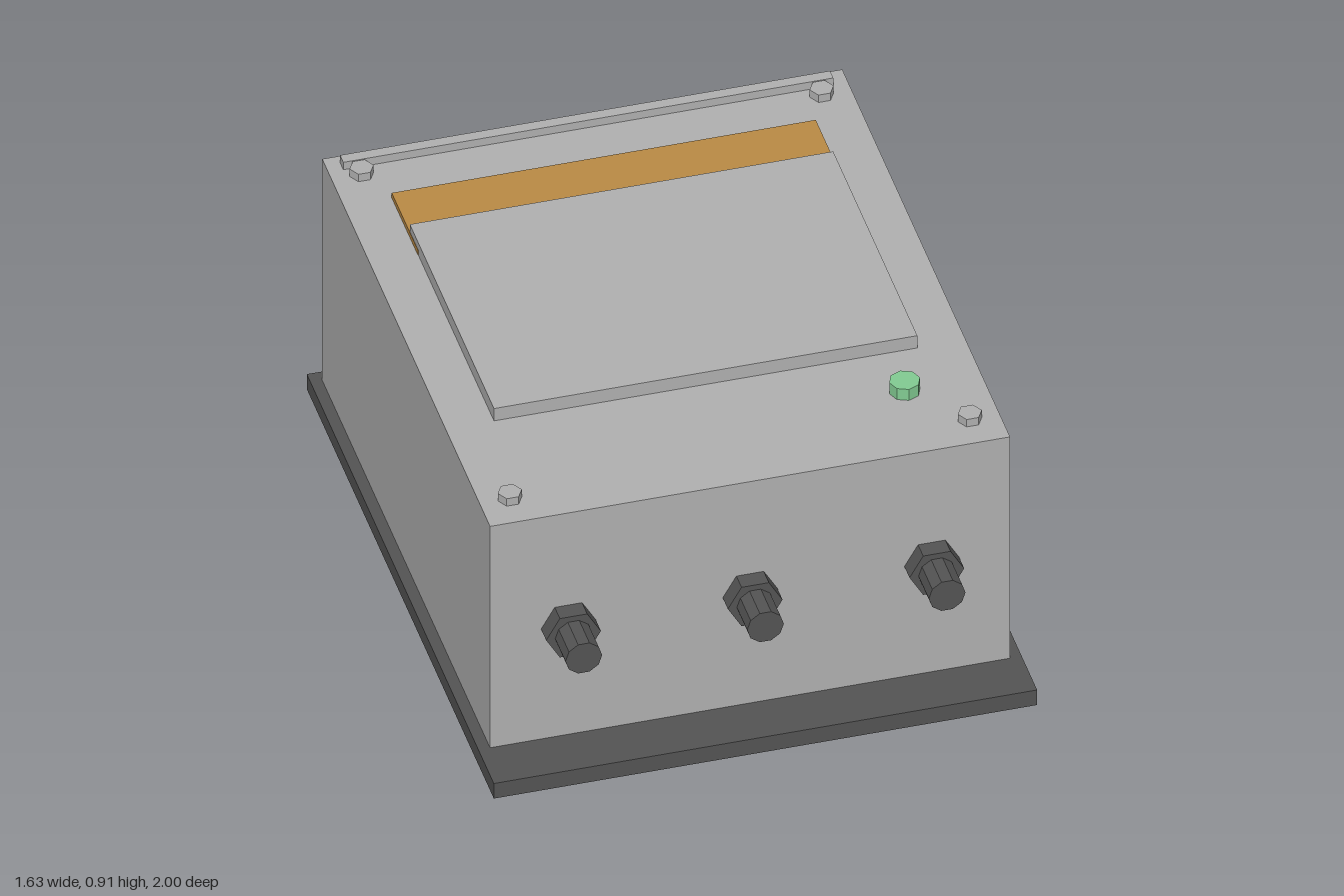
import * as THREE from 'three';

const paint = (name, color) => {
  const m = new THREE.MeshStandardMaterial({ color });
  m.name = name;
  m.flatShading = true;
  return m;
};

export function createModel() {
  const model = new THREE.Group();
  model.name = 'controlBox';
  const grey = paint('housing grey', 0xb0b0b0);
  const dark = paint('dark grey', 0x545454);
  const amber = paint('amber', 0xba8a45);
  const green = paint('indicator green', 0x82cb92);

  const add = (name, geometry, material) => {
    const mesh = new THREE.Mesh(geometry, material);
    mesh.name = name;
    model.add(mesh);
    return mesh;
  };
  // Box given by its limits, centred on x
  const box = (name, halfX, y0, y1, z0, z1, material) =>
    add(name, new THREE.BoxGeometry(halfX * 2, y1 - y0, z1 - z0), material)
      .position.set(0, (y0 + y1) / 2, (z0 + z1) / 2);
  // Faceted cylinder with a corner pointing along x
  const prism = (r, h, sides) =>
    new THREE.CylinderGeometry(r, r, h, sides, 1, false, Math.PI / 2);

  // Base plate and housing
  box('basePlate', 0.815, 0, 0.055, -1, 1, dark);
  box('housing', 0.78, 0.055, 0.865, -0.96, 0.835, grey);

  // Lid details
  box('lidPanel', 0.635, 0.865, 0.91, -0.54, 0.36, grey);
  box('amberStrip', 0.636, 0.865, 0.883, -0.73, -0.45, amber);
  box('rearRail', 0.735, 0.865, 0.892, -0.93, -0.895, grey);

  // Corner screws
  for (const x of [-0.69, 0.69])
    for (const z of [-0.86, 0.725])
      add('lidScrew', prism(0.036, 0.027, 6), grey).position.set(x, 0.8785, z);

  // Indicator light
  add('indicatorLight', prism(0.046, 0.04, 8), green).position.set(0.545, 0.885, 0.545);

  // Cable glands on the front
  for (const x of [-0.545, 0, 0.545]) {
    add('glandNut', prism(0.082, 0.055, 6).rotateX(Math.PI / 2), dark).position.set(x, 0.457, 0.8625);
    add('glandStem', prism(0.055, 0.11, 10).rotateX(Math.PI / 2), dark).position.set(x, 0.457, 0.945);
  }
  return model;
}
